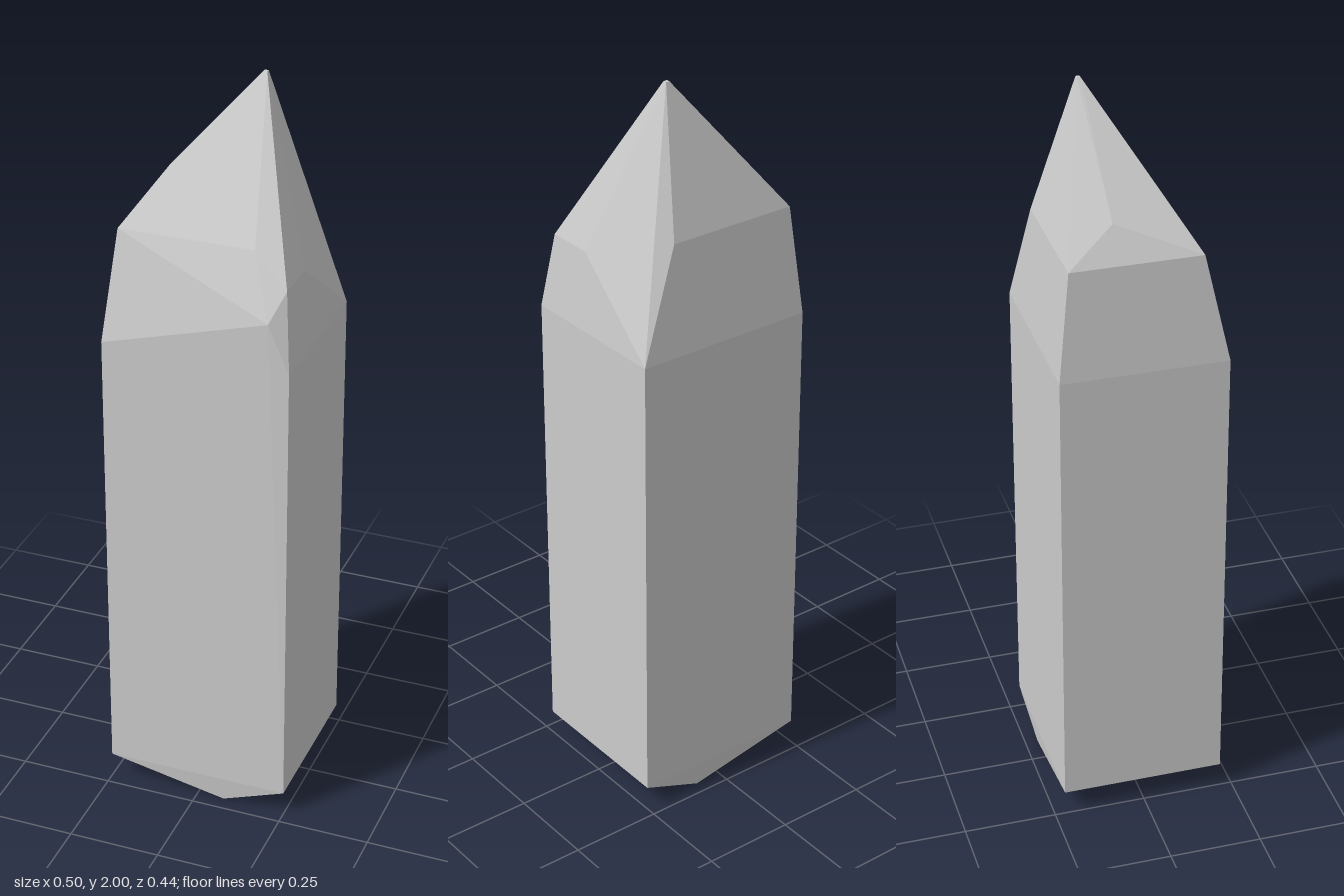
import * as THREE from 'three';
import { ConvexGeometry } from 'three/addons/geometries/ConvexGeometry.js';

const v = (x, y, z) => new THREE.Vector3(x, y, z);

export function createModel() {
  const group = new THREE.Group();
  group.name = 'crystal';
  const stone = new THREE.MeshStandardMaterial({ color: 0xcccccc });
  stone.name = 'pale grey stone';

  const points = [];

  // base: wedge with its ridge running front to back
  for (const z of [0.21, -0.215]) points.push(v(0.075, 0, z));

  // shaft: straight four-sided column
  for (const y of [0.07, 1.34])
    for (const x of [-0.25, 0.25])
      for (const z of [0.217, -0.222]) points.push(v(x, y, z));

  // shoulder: irregular cut facets
  points.push(
    v(-0.226, 1.63, 0.154), v(-0.226, 1.63, -0.19), // left side
    v(-0.175, 1.72, -0.065),                        // left bevel
    v(0.136, 1.63, 0.154), v(0.136, 1.63, -0.19),   // front and back bevels
    v(0.195, 1.47, 0.221),                          // front right chip
    v(0.229, 1.547, 0.18), v(0.229, 1.547, 0.05),   // right side
  );

  // tip: very small flat
  for (const dx of [-0.005, 0.005])
    for (const dz of [-0.005, 0.005]) points.push(v(0.075 + dx, 2, -0.08 + dz));

  const body = new THREE.Mesh(new ConvexGeometry(points), stone);
  body.name = 'crystalBody';
  group.add(body);
  return group;
}
